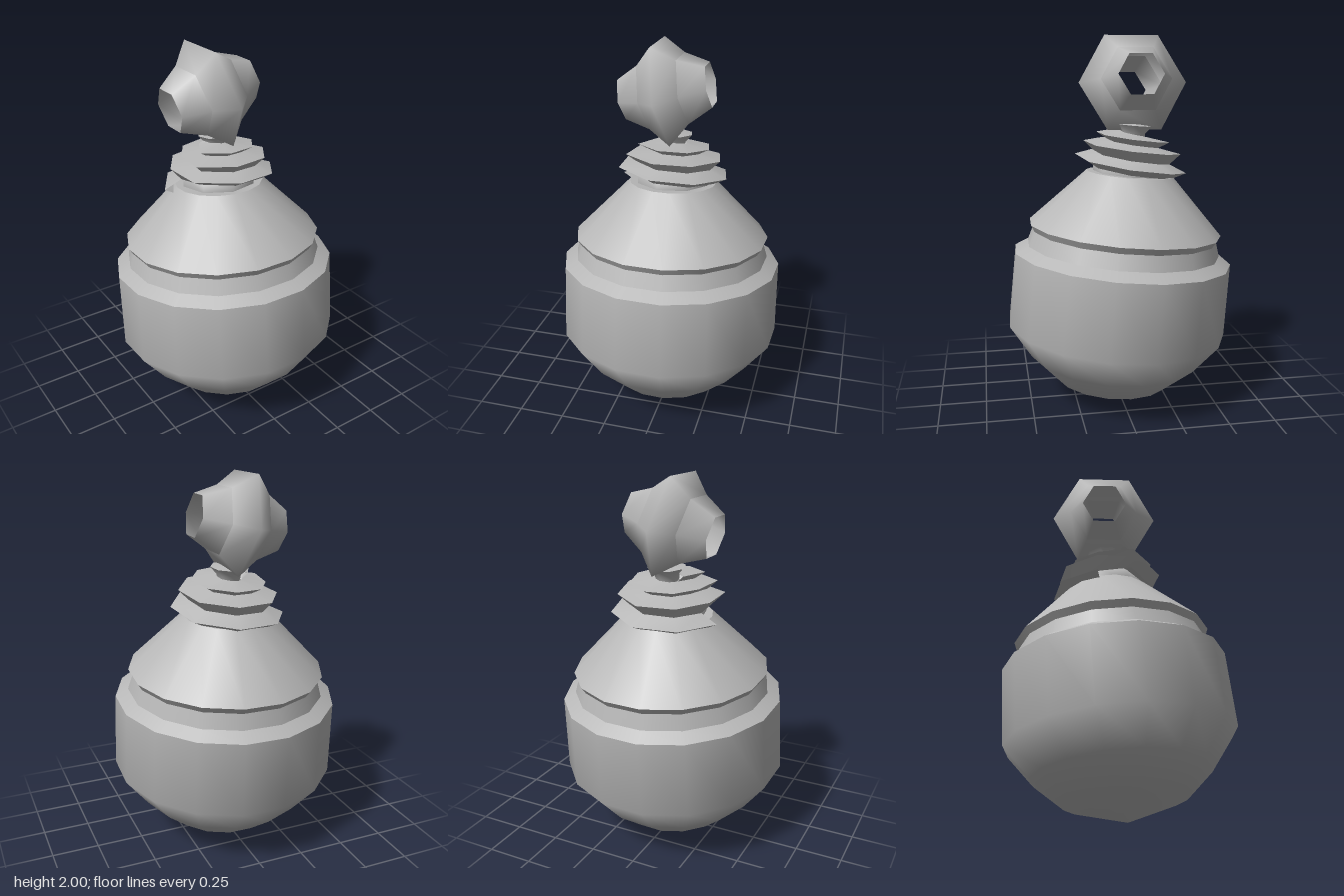
import * as THREE from 'three';
import { mergeGeometries } from 'three/addons/utils/BufferGeometryUtils.js';

const stone = new THREE.MeshStandardMaterial({ color: 0xb8b8b8, side: THREE.DoubleSide });
stone.name = 'plain grey';
const rad = THREE.MathUtils.degToRad;

// Turned part: each run of [radius, height] points is smooth, with sharp edges between runs
function turned(name, sides, startAngle, runs) {
  const parts = runs.map((run) => new THREE.LatheGeometry(
    run.map(([r, h]) => new THREE.Vector2(r, h)), sides, rad(startAngle)));
  const mesh = new THREE.Mesh(mergeGeometries(parts), stone);
  mesh.name = name;
  return mesh;
}

// Stepped screw thread: three eight-sided turns, each smaller than the one below
function screwThread() {
  const outerR = [0.305, 0.265, 0.2, 0.1];
  const grooveR = [0.21, 0.14, 0.07, 0.07];
  const heights = [1.27, 1.32, 1.38, 1.41, 1.44, 1.465, 1.49, 1.51, 1.53, 1.53];
  const heightAt = (i) => {
    const k = Math.min(Math.floor(i / 4), 8);
    return THREE.MathUtils.lerp(heights[k], heights[k + 1], (i - k * 4) / 4);
  };
  const place = (i, r, y) => {
    const a = rad(-101 - 45 * i);
    return [r * Math.sin(a), y, r * Math.cos(a)];
  };
  const outer = (i) => place(i, outerR[Math.floor(i / 8)], heightAt(i));
  const groove = (i) => i < 0
    ? place(i, 0.235, heightAt(i + 8) - 0.035)
    : place(i, grooveR[Math.floor(i / 8)], THREE.MathUtils.lerp(heightAt(i), heightAt(i + 8), 0.4));

  const strip = (low, high) => {
    const pos = [], index = [];
    for (let i = 0; i <= 24; i++) {
      pos.push(...low(i), ...high(i));
      if (i < 24) {
        const a = i * 2;
        index.push(a, a + 1, a + 2, a + 1, a + 3, a + 2);
      }
    }
    const g = new THREE.BufferGeometry();
    g.setAttribute('position', new THREE.Float32BufferAttribute(pos, 3));
    g.setIndex(index);
    g.computeVertexNormals();
    return g;
  };
  const mesh = new THREE.Mesh(mergeGeometries([
    strip((i) => groove(i - 8), outer),
    strip(outer, groove),
  ]), stone);
  mesh.name = 'screwThread';
  return mesh;
}

export function createModel() {
  const model = new THREE.Group();
  model.name = 'ornament';

  // Jar, lid and thread share one axis that leans slightly backwards
  const jar = new THREE.Group();
  jar.name = 'jar';
  jar.position.z = 0.05;
  jar.rotation.x = rad(-5);
  model.add(jar);

  jar.add(turned('bowl', 16, 9.5, [
    [[0, 0], [0.32, 0.1], [0.475, 0.24], [0.605, 0.41], [0.597, 0.815]],
  ]));
  jar.add(turned('neck', 16, 9.5, [
    [[0.597, 0.815], [0.53, 0.855]],
    [[0.53, 0.855], [0.505, 0.935]],
  ]));
  jar.add(turned('lid', 16, 9.5, [
    [[0.505, 0.935], [0.527, 0.97]],
    [[0.527, 0.97], [0.235, 1.27]],
    [[0.235, 1.27], [0, 1.27]],
  ]));
  jar.add(turned('threadCore', 8, -11, [
    [[0.2, 1.27], [0.2, 1.33], [0.06, 1.46]],
  ]));
  jar.add(screwThread());
  jar.add(turned('threadTip', 8, -11, [
    [[0.06, 1.45], [0.065, 1.49], [0.1, 1.53]],
    [[0.1, 1.53], [0, 1.54]],
  ]));

  // Hollow six-sided bead lying across the tip
  const bead = turned('hollowBead', 6, 0, [
    [[0.12, -0.235], [0.19, -0.105]],
    [[0.19, -0.105], [0.293, 0], [0.19, 0.105]],
    [[0.19, 0.105], [0.12, 0.235]],
  ]);
  bead.position.set(-0.04, 1.747, -0.085);
  bead.rotation.z = rad(-78.3);
  model.add(bead);

  return model;
}
